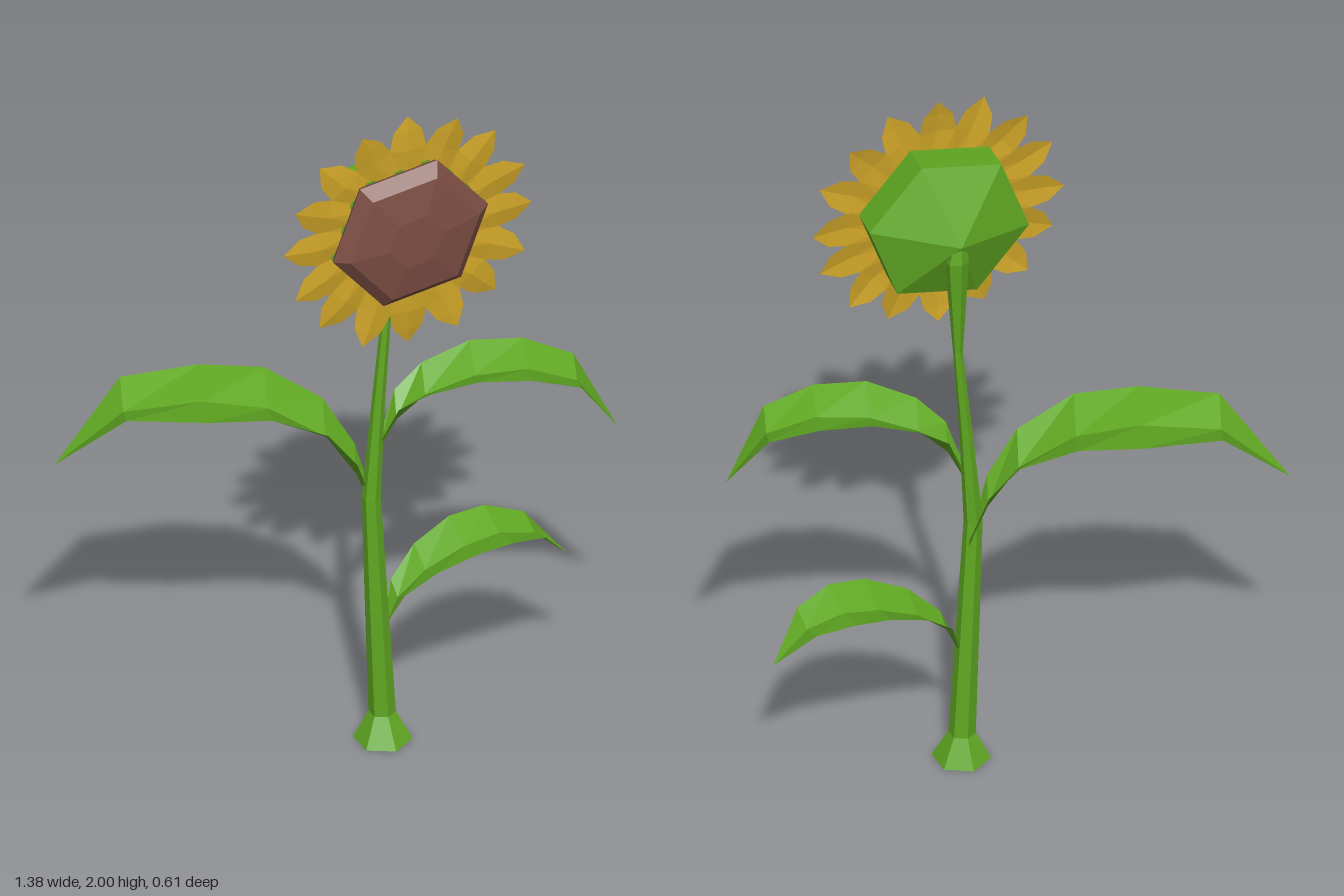
import * as THREE from 'three';

const material = (color) =>
  new THREE.MeshStandardMaterial({ color, flatShading: true, side: THREE.DoubleSide });
const green = material(0x60a822);
const yellow = material(0xcaa126);
const brown = material(0x7c4e43);

function part(name, geometry, mat) {
  const mesh = new THREE.Mesh(geometry, mat);
  mesh.name = name;
  return mesh;
}

// Thin blade running along +x, folded along its midrib.
// Each section is [distance, height, half width, lift of the edges].
function bladeGeometry(sections) {
  const positions = [];
  const index = [];
  sections.forEach(([s, y, w, lift], i) => {
    positions.push(s, y + lift, -w, s, y, 0, s, y + lift, w);
    if (i === 0) return;
    for (let k = 0; k < 2; k++) {
      const a = (i - 1) * 3 + k;
      const b = i * 3 + k;
      index.push(a, a + 1, b, a + 1, b + 1, b);
    }
  });
  const geometry = new THREE.BufferGeometry();
  geometry.setAttribute('position', new THREE.Float32BufferAttribute(positions, 3));
  geometry.setIndex(index);
  geometry.computeVertexNormals();
  return geometry;
}

// Six-sided stem through rings of [x, y, z, radius], bottom to top.
function stemGeometry(rings) {
  const last = rings.length - 1;
  const geometry = new THREE.CylinderGeometry(1, 1, 1, 6, last);
  const p = geometry.attributes.position;
  for (let i = 0; i < p.count; i++) {
    const [x, y, z, r] = rings[Math.round((p.getY(i) + 0.5) * last)];
    p.setXYZ(i, x + p.getX(i) * r, y, z + p.getZ(i) * r);
  }
  geometry.computeVertexNormals();
  return geometry;
}

// Six-sided solid turned about the +z axis; profile is [radius, z] from back to front.
function hexGeometry(profile) {
  const points = profile.map(([r, z]) => new THREE.Vector2(r, z));
  const turn = THREE.MathUtils.degToRad(100);
  return new THREE.LatheGeometry(points, 6, turn).rotateX(Math.PI / 2);
}

function createHead() {
  const head = new THREE.Group();
  head.name = 'flowerHead';
  head.add(part('flowerBack', hexGeometry([[0, -0.185], [0.225, -0.09], [0.222, 0], [0, 0]]), green));
  head.add(part('seedDisc',
    hexGeometry([[0, 0], [0.215, 0], [0.222, 0.015], [0.185, 0.047], [0.08, 0.063], [0, 0.064]]), brown));

  // Ring of pointed petals, gently alternating in depth
  const petals = new THREE.Group();
  petals.name = 'petals';
  const count = 16;
  for (let i = 0; i < count; i++) {
    const bend = i % 2 ? 0.012 : -0.006;
    const geometry = bladeGeometry([
      [0.15, 0, 0.033, 0],
      [0.25, 0.006, 0.052, -0.008],
      [0.305, 0.004 + bend / 2, 0.04, -0.006],
      [0.35, bend, 0, 0],
    ]).rotateX(Math.PI / 2);
    const petal = part('petal', geometry, yellow);
    petal.rotation.z = Math.PI / 2 + (i / count) * Math.PI * 2;
    petals.add(petal);
  }
  head.add(petals);
  head.position.set(0.105, 1.655, 0.2);
  head.rotation.y = -0.075;
  return head;
}

export function createModel() {
  const model = new THREE.Group();
  model.name = 'sunflower';

  // Stem with flared foot and a flare below the head
  model.add(part('stem', stemGeometry([
    [0.1, 0, 0.06, 0.078],
    [0.1, 0.08, 0.056, 0.036],
    [0.085, 0.4, 0.055, 0.031],
    [0.07, 0.75, 0.052, 0.025],
    [0.09, 1.02, 0.05, 0.018],
    [0.113, 1.3, 0.053, 0.013],
    [0.12, 1.6, 0.045, 0.032],
    [0.115, 1.67, 0.038, 0.015],
  ]), green));

  // Arching leaves: root, heading from +x towards +z, and sections
  const leaves = [
    ['largeLeaf', [0.09, 0.035], Math.atan2(-0.31, -0.78), [
      [0, 0.68, 0.015, 0.03], [0.05, 0.81, 0.055, 0.06], [0.13, 0.93, 0.092, 0.06], [0.28, 1.025, 0.13, 0.045],
      [0.45, 1.055, 0.142, 0.025], [0.66, 1.035, 0.107, 0.04], [0.84, 0.88, 0, 0]]],
    ['upperLeaf', [0.095, 0.05], Math.atan2(0.21, 0.59), [
      [0, 0.89, 0.015, 0.03], [0.045, 0.98, 0.05, 0.06], [0.12, 1.05, 0.08, 0.05], [0.25, 1.1, 0.103, 0.045],
      [0.39, 1.11, 0.105, 0.03], [0.52, 1.065, 0.083, 0.03], [0.626, 0.915, 0, 0]]],
    ['lowerLeaf', [0.105, 0.055], Math.atan2(0.025, 0.525), [
      [0, 0.33, 0.012, 0.02], [0.04, 0.42, 0.045, 0.03], [0.12, 0.485, 0.078, 0.035], [0.23, 0.53, 0.1, 0.035],
      [0.33, 0.545, 0.1, 0.028], [0.43, 0.52, 0.07, 0.025], [0.525, 0.43, 0, 0]]],
  ];
  for (const [name, [x, z], heading, sections] of leaves) {
    const leaf = part(name, bladeGeometry(sections), green);
    leaf.position.set(x, 0, z);
    leaf.rotation.y = -heading;
    model.add(leaf);
  }

  model.add(createHead());
  return model;
}
